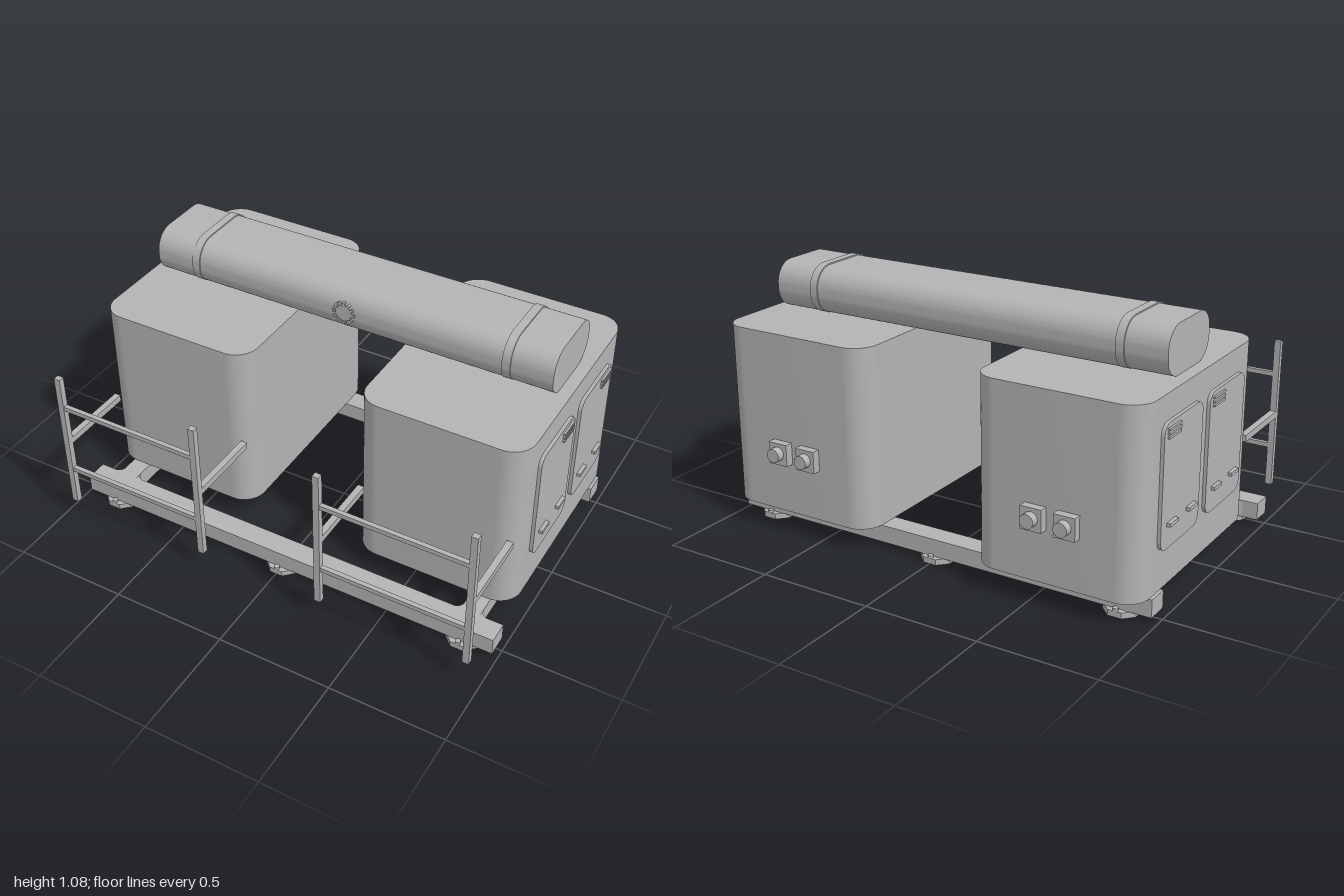
import * as THREE from 'three';
import { toCreasedNormals } from 'three/addons/utils/BufferGeometryUtils.js';

export function createModel() {
  const model = new THREE.Group();
  const grey = new THREE.MeshStandardMaterial({ color: 0xb4b4b4 });
  grey.name = 'plain grey';

  function add(name, geometry, x = 0, y = 0, z = 0) {
    const mesh = new THREE.Mesh(geometry, grey);
    mesh.name = name;
    mesh.position.set(x, y, z);
    model.add(mesh);
    return mesh;
  }

  // box from its limits on each axis
  function box(name, x0, x1, y0, y1, z0, z1) {
    return add(name, new THREE.BoxGeometry(Math.abs(x1 - x0), y1 - y0, z1 - z0),
      (x0 + x1) / 2, (y0 + y1) / 2, (z0 + z1) / 2);
  }

  // rounded rectangle extruded along z, centred on the origin
  function roundedSlab(w, h, r, depth) {
    const a = w / 2, b = h / 2;
    const s = new THREE.Shape();
    s.moveTo(-a + r, -b);
    s.absarc(a - r, -b + r, r, -Math.PI / 2, 0);
    s.absarc(a - r, b - r, r, 0, Math.PI / 2);
    s.absarc(-a + r, b - r, r, Math.PI / 2, Math.PI);
    s.absarc(-a + r, -b + r, r, Math.PI, Math.PI * 1.5);
    const g = new THREE.ExtrudeGeometry(s, { depth, bevelEnabled: false, curveSegments: 10 });
    g.translate(0, 0, -depth / 2);
    return toCreasedNormals(g, 0.6);
  }

  // base frame: front and back beams
  box('frontBeam', -0.98, 0.98, 0.025, 0.1, 0.46, 0.555);
  box('backBeam', -0.98, 0.98, 0.025, 0.1, -0.555, -0.46);

  // octagonal feet with a bolt at the outer edge
  for (const z of [-0.508, 0.508]) {
    const out = Math.sign(z);
    for (const x of [-0.838, 0, 0.838]) {
      const pad = new THREE.CylinderGeometry(0.076, 0.076, 0.025, 8).toNonIndexed();
      pad.rotateY(Math.PI / 8);
      pad.computeVertexNormals();
      add('foot', pad, x, 0.0125, z);
      add('footBolt', new THREE.CylinderGeometry(0.012, 0.012, 0.012, 8), x, 0.03, z + out * 0.06);
    }
  }

  // corner gusset lying flat
  const gussetShape = new THREE.Shape();
  gussetShape.moveTo(0, 0);
  gussetShape.lineTo(0.035, 0);
  gussetShape.quadraticCurveTo(0.005, 0.005, 0, 0.035);
  const gusset = new THREE.ExtrudeGeometry(gussetShape, { depth: 0.07, bevelEnabled: false });
  gusset.rotateX(-Math.PI / 2);

  for (const s of [-1, 1]) {
    box('sideBeam', s * 0.795, s * 0.878, 0.025, 0.1, -0.46, 0.46);
    add('gusset', gusset, 0.878 * s + (s < 0 ? 0.083 : 0), 0.028, 0.46);
    const left = add('gusset', gusset, 0.795 * s - (s < 0 ? 0.083 : 0), 0.098, 0.46);
    left.rotation.z = Math.PI;

    // cabinet with rounded upright edges
    const body = roundedSlab(0.715, 1.01, 0.1, 0.775);
    body.rotateX(-Math.PI / 2);
    add('cabinet', body, s * 0.609, 0.4875, -0.145);

    // two doors on the outer side, each with two handles and a louvre
    for (const z of [0.055, -0.34]) {
      const door = roundedSlab(0.33, 0.505, 0.045, 0.025);
      door.rotateY(Math.PI / 2);
      add('door', door, s * 0.9685, 0.5175, z);
      for (const dz of [0.083, -0.083]) {
        box('handle', s * 0.975, s * 0.997, 0.358, 0.373, z + dz - 0.035, z + dz + 0.035);
      }
      for (let i = 0; i < 3; i++) {
        const y = 0.71 + i * 0.016;
        box('louvre', s * 0.975, s * 0.99, y, y + 0.009, z - 0.14, z - 0.04);
      }
    }

    // two connectors on the back
    for (const x of [0.535, 0.677]) {
      box('connectorBase', s * (x - 0.046), s * (x + 0.046), 0.32, 0.415, -0.685, -0.645);
      const plug = new THREE.CylinderGeometry(0.03, 0.03, 0.04, 20);
      plug.rotateX(Math.PI / 2);
      add('connectorPlug', plug, s * x, 0.37, -0.697);
    }

    // guard rail standing off the front of the cabinet
    for (const x of [0.28, 0.935]) {
      box('railPost', s * (x - 0.014), s * (x + 0.014), 0.1, 0.755, 0.686, 0.712);
      box('railArm', s * (x - 0.014), s * (x + 0.014), 0.412, 0.441, 0.355, 0.69);
    }
    for (const y of [0.28, 0.607]) {
      box('railRung', s * 0.29, s * 0.925, y - 0.01, y + 0.01, 0.689, 0.709);
    }

    // strap around the top duct
    const strap = roundedSlab(0.37, 0.21, 0.095, 0.036);
    strap.rotateY(Math.PI / 2);
    add('ductStrap', strap, s * 0.717, 0.979, -0.176);
  }

  // duct bridging the two cabinets
  const duct = roundedSlab(0.36, 0.203, 0.09, 1.825);
  duct.rotateY(Math.PI / 2);
  add('duct', duct, 0, 0.977, -0.176);

  // round port with studs on the front of the duct
  const port = new THREE.CylinderGeometry(0.036, 0.036, 0.012, 24);
  port.rotateX(Math.PI / 2);
  add('port', port, 0, 0.978, 0.002);
  for (let i = 0; i < 12; i++) {
    const a = (i / 12) * Math.PI * 2;
    const stud = add('portStud', new THREE.BoxGeometry(0.014, 0.012, 0.014),
      Math.cos(a) * 0.044, 0.978 + Math.sin(a) * 0.044, 0.003);
    stud.rotation.z = a;
  }
  return model;
}
